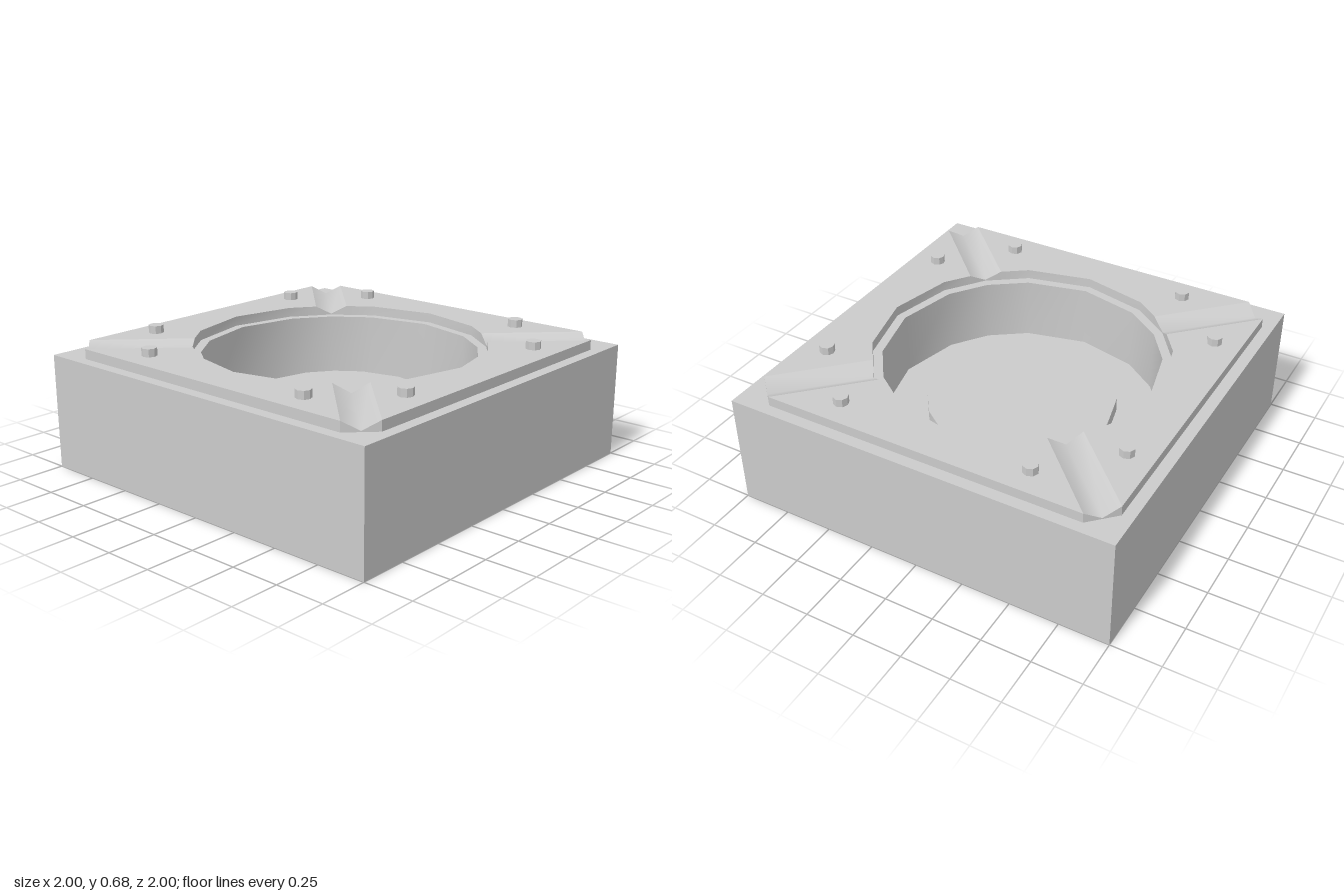
import * as THREE from 'three';
import { mergeGeometries } from 'three/addons/utils/BufferGeometryUtils.js';

const BASE = 0.585, TOP = 0.635, GROOVE = 0.59, FLOOR = 0.26, PLUG = 0.335;

// Repeats a quarter list of [x, z, y] points four times around the y axis.
function around(quarter) {
  const loop = [];
  for (let k = 0; k < 4; k++) {
    for (const [x, z, y] of quarter) {
      const p = [[x, z], [-z, x], [-x, -z], [z, -x]][k];
      loop.push(new THREE.Vector3(p[0], y, p[1]));
    }
  }
  return loop;
}

const atHeight = (loop, y) => loop.map((p) => new THREE.Vector3(p.x, y, p.z));

// Sixteen-sided ring with corners on the axes and diagonals.
function ring(r, y) {
  const d = r * Math.SQRT1_2, a = r * 0.447, b = r * 0.894;
  return around([[d, d, y], [a, b, y], [0, r, y], [-a, b, y]]);
}

// Surface between two loops with equal point counts.
function strip(a, b, { smooth = false, closed = true } = {}) {
  const n = a.length, index = [];
  for (let i = 0; i < (closed ? n : n - 1); i++) {
    const j = (i + 1) % n;
    if (!a[i].equals(a[j])) index.push(i, j, n + j);
    if (!b[i].equals(b[j])) index.push(i, n + j, n + i);
  }
  let g = new THREE.BufferGeometry().setFromPoints([...a, ...b]);
  g.setIndex(index);
  if (smooth) g.computeVertexNormals();
  g = g.toNonIndexed();
  if (!smooth) g.computeVertexNormals();
  return g;
}

export function createModel() {
  const model = new THREE.Group();
  model.name = 'squareTray';
  const material = new THREE.MeshStandardMaterial({ color: 0xcccccc });
  const add = (name, geometry) => {
    const mesh = new THREE.Mesh(geometry, material);
    mesh.name = name;
    model.add(mesh);
    return mesh;
  };

  // Square body with a round well
  const square = around([[1, 1, BASE], [0.5, 1, BASE], [0, 1, BASE], [-0.5, 1, BASE]]);
  const foot = atHeight(square, 0);
  const rim = ring(0.693, BASE), wellBottom = ring(0.693, FLOOR);
  add('body', mergeGeometries([
    strip(square, foot),
    strip(foot, ring(0, 0)),
    strip(rim, square),
    strip(wellBottom, rim, { smooth: true }),
  ]));

  // Well floor with a raised disc in the middle
  const discEdge = ring(0.48, PLUG), discFoot = ring(0.48, FLOOR);
  add('wellFloor', strip(discFoot, wellBottom));
  add('raisedDisc', mergeGeometries([
    strip(ring(0, PLUG), discEdge),
    strip(discEdge, discFoot, { smooth: true }),
  ]));

  // Top plate: matching outer and inner loops that dip at each corner groove
  const outer = around([
    [0.882, 0.882, GROOVE], [0.822, 0.942, TOP], [0.4, 0.942, TOP],
    [0, 0.942, TOP], [-0.4, 0.942, TOP], [-0.822, 0.942, TOP],
  ]);
  const inner = around([
    [0.523, 0.523, GROOVE], [0.453, 0.573, TOP], [0.331, 0.662, TOP],
    [0, 0.74, TOP], [-0.331, 0.662, TOP], [-0.453, 0.573, TOP],
  ]);
  const decks = [];
  for (let k = 0; k < 4; k++) {
    const from = 6 * k + 1;
    decks.push(strip(inner.slice(from, from + 5), outer.slice(from, from + 5), { closed: false }));
  }
  add('topPlate', mergeGeometries([
    ...decks,
    strip(outer, atHeight(outer, BASE)),
    strip(atHeight(inner, BASE), inner, { smooth: true }),
  ]));

  // Diagonal corner grooves
  for (let k = 0; k < 4; k++) {
    const pick = (loop) => [-1, 0, 1].map((i) => loop[(6 * k + i + 24) % 24]);
    add('cornerGroove', strip(pick(inner), pick(outer), { smooth: true, closed: false }));
  }

  // Two small studs along each side
  const stud = new THREE.CylinderGeometry(0.038, 0.038, 0.04, 8).toNonIndexed();
  stud.computeVertexNormals();
  for (const p of around([[0.5, 0.81, TOP + 0.02], [-0.5, 0.81, TOP + 0.02]])) {
    add('stud', stud).position.copy(p);
  }
  return model;
}
